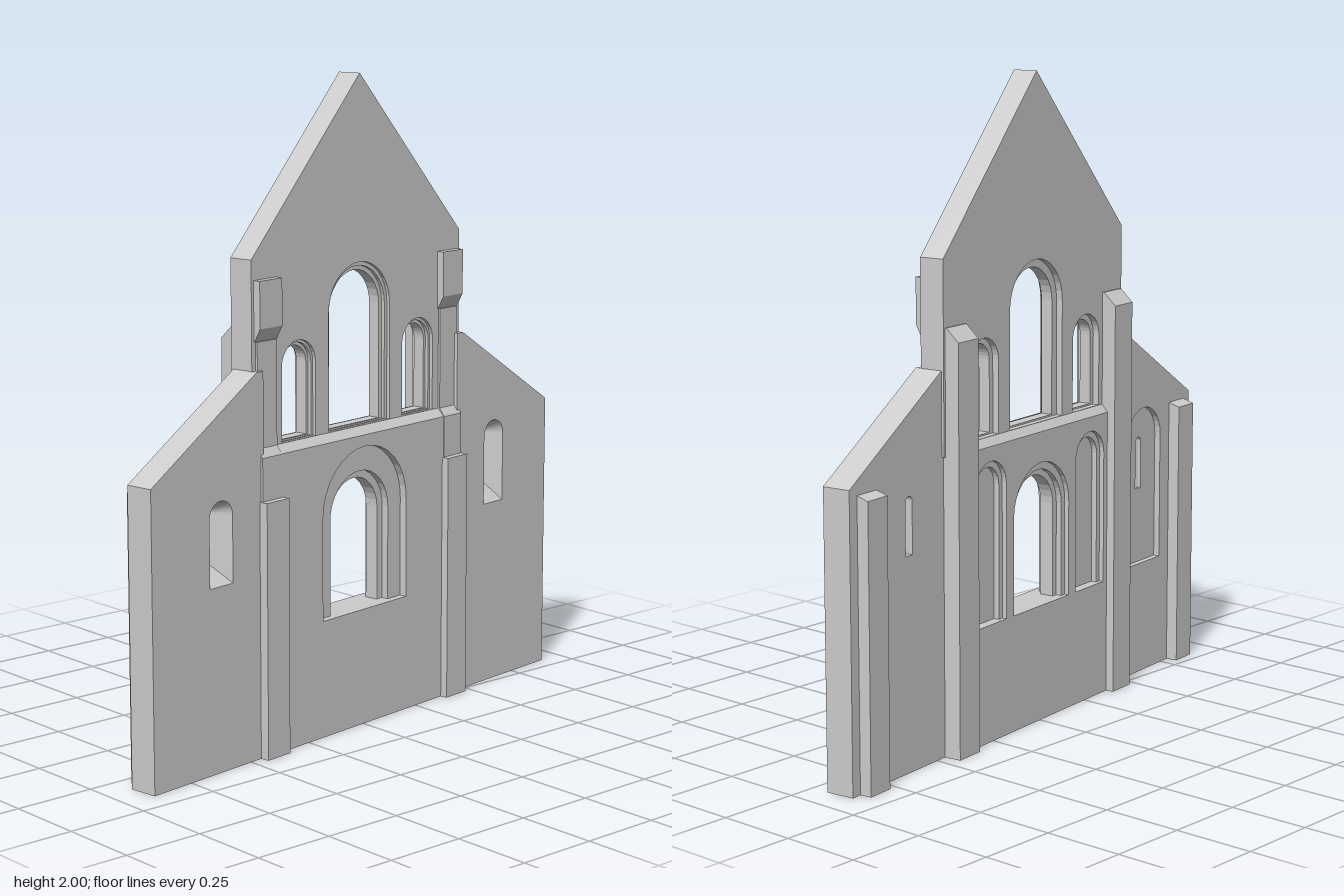
import * as THREE from 'three';

const material = new THREE.MeshStandardMaterial({ color: 0xcccccc, flatShading: true });
const openMaterial = new THREE.MeshStandardMaterial({ color: 0xcccccc, flatShading: true, side: THREE.DoubleSide });

// Round-headed opening: centre, half width, sill height, crown height
function archPoints([c, half, bottom, top], n = 16) {
  const pts = [new THREE.Vector2(c - half, bottom), new THREE.Vector2(c + half, bottom)];
  for (let i = 0; i <= n; i++) {
    const a = (Math.PI * i) / n;
    pts.push(new THREE.Vector2(c + half * Math.cos(a), top - half + half * Math.sin(a)));
  }
  return pts;
}

// Wall layer between two depths, pierced by arches (x runs along the wall, z through it)
function layer(parent, name, outline, z0, z1, arches = []) {
  const shape = new THREE.Shape(outline.map(([x, y]) => new THREE.Vector2(x, y)));
  for (const a of arches) shape.holes.push(new THREE.Path(archPoints(a)));
  const geo = new THREE.ExtrudeGeometry(shape, { depth: z1 - z0, bevelEnabled: false });
  geo.translate(0, 0, z0);
  const mesh = new THREE.Mesh(geo, material);
  mesh.name = name;
  parent.add(mesh);
}

// Profile in (depth, height) drawn out along the wall
function prism(parent, name, profile, x, width) {
  const shape = new THREE.Shape(profile.map(([z, y]) => new THREE.Vector2(z, y)));
  const geo = new THREE.ExtrudeGeometry(shape, { depth: width, bevelEnabled: false });
  geo.rotateY(-Math.PI / 2).translate(x + width / 2, 0, 0);
  const mesh = new THREE.Mesh(geo, material);
  mesh.name = name;
  parent.add(mesh);
}

// Splayed reveal joining two arches at different depths
function splay(parent, name, inner, zIn, outer, zOut) {
  const a = archPoints(inner), b = archPoints(outer), n = a.length;
  const pos = [], index = [];
  a.forEach((p, i) => pos.push(p.x, p.y, zIn, b[i].x, b[i].y, zOut));
  for (let i = 0; i < n; i++) {
    const p = 2 * i, q = 2 * ((i + 1) % n);
    index.push(p, q, p + 1, q, q + 1, p + 1);
  }
  const geo = new THREE.BufferGeometry();
  geo.setAttribute('position', new THREE.Float32BufferAttribute(pos, 3));
  geo.setIndex(index);
  geo.computeVertexNormals();
  const mesh = new THREE.Mesh(geo, openMaterial);
  mesh.name = name;
  parent.add(mesh);
}

export function createModel() {
  const model = new THREE.Group();
  model.name = 'gabledWall';
  const wall = new THREE.Group();
  wall.name = 'wall';
  wall.rotation.y = THREE.MathUtils.degToRad(97.3);
  model.add(wall);

  // Lower nave wall: stepped doorway-like arch and blind side arches on the back
  const lower = [[-0.45, 0], [0.45, 0], [0.45, 0.91], [-0.45, 0.91]];
  const sill = 0.365;
  const flanks = (half, top) => [-0.27, 0.27].map(x => [x, half, sill, top]);
  const lowerLayers = [
    [-0.063, -0.048, [[0, 0.15, sill, 0.815], ...flanks(0.08, 0.865)]],
    [-0.048, -0.03, [[0, 0.13, sill, 0.79], ...flanks(0.062, 0.845)]],
    [-0.03, 0.015, [[0, 0.11, sill, 0.77]]],
    [0.015, 0.038, [[0, 0.135, sill, 0.795]]],
    [0.038, 0.062, [[0, 0.195, sill, 0.875]]],
  ];
  for (const [z0, z1, arches] of lowerLayers) layer(wall, 'lowerNaveWall', lower, z0, z1, arches);

  // Upper nave wall with gable and three stepped windows
  const gable = [[-0.478, 0.91], [0.478, 0.91], [0.478, 1.49], [0, 2], [-0.478, 1.49]];
  const windows = d => [
    [0, 0.115 + d, 0.94 - d * 0.2, 1.41 + d],
    ...[-0.275, 0.275].map(x => [x, 0.056 + d * 0.7, 0.94 - d * 0.2, 1.215 + d * 0.7]),
  ];
  for (const [z0, z1, d] of [[-0.043, -0.022, 0.026], [-0.022, 0.016, 0], [0.016, 0.027, 0.014], [0.027, 0.038, 0.026]])
    layer(wall, 'upperNaveWall', gable, z0, z1, windows(d));

  // Sloping ledges between the lower and upper wall
  prism(wall, 'ledge', [[-0.063, 0.91], [0.062, 0.91], [0.038, 0.934], [-0.043, 0.934]], 0, 0.76);

  // Aisle walls, each with a splayed slit window; one has a blind arch behind
  const aisles = [
    { side: 1, outer: [0.64, 0.048, 0.59, 0.86], inner: [0.64, 0.016, 0.65, 0.825] },
    { side: -1, outer: [-0.632, 0.048, 0.56, 0.812], inner: [-0.632, 0.016, 0.61, 0.78], blind: [-0.635, 0.1, sill, 0.88] },
  ];
  for (const { side, outer, inner, blind } of aisles) {
    const outline = [[0.45, 0], [0.915, 0], [0.915, 0.893], [0.478, 1.165], [0.45, 1.165]].map(([x, y]) => [x * side, y]);
    layer(wall, 'aisleWall', outline, -0.035, -0.015, [blind || inner]);
    layer(wall, 'aisleWall', outline, -0.015, -0.005, [inner]);
    layer(wall, 'aisleWall', outline, -0.005, 0.057, [outer]);
    splay(wall, 'windowSplay', inner, -0.005, outer, 0.057);
  }

  for (const side of [-1, 1]) {
    const x = 0.42 * side;
    // Front pilaster: broad base, slim shaft and corbelled head
    prism(wall, 'frontPilasterBase', [[0, 0], [0.086, 0], [0.086, 0.78], [0, 0.78]], x, 0.096);
    prism(wall, 'frontPilasterShaft', [[0, 0.78], [0.064, 0.78], [0.064, 0.91], [0.045, 0.935], [0.045, 1.25], [0, 1.25]], x, 0.084);
    prism(wall, 'frontPilasterHead', [[0, 1.25], [0.04, 1.25], [0.062, 1.29], [0.062, 1.43], [0, 1.43]], x, 0.096);
    // Back buttress with weathered top
    prism(wall, 'backButtress', [[0, 0], [0, 1.29], [-0.048, 1.29], [-0.09, 1.25], [-0.09, 0]], x, 0.1);
    // Back corner pilaster
    prism(wall, 'cornerPilaster', [[0, 0], [0, 0.872], [-0.035, 0.872], [-0.073, 0.86], [-0.073, 0]], 0.835 * side, 0.09);
  }
  return model;
}
